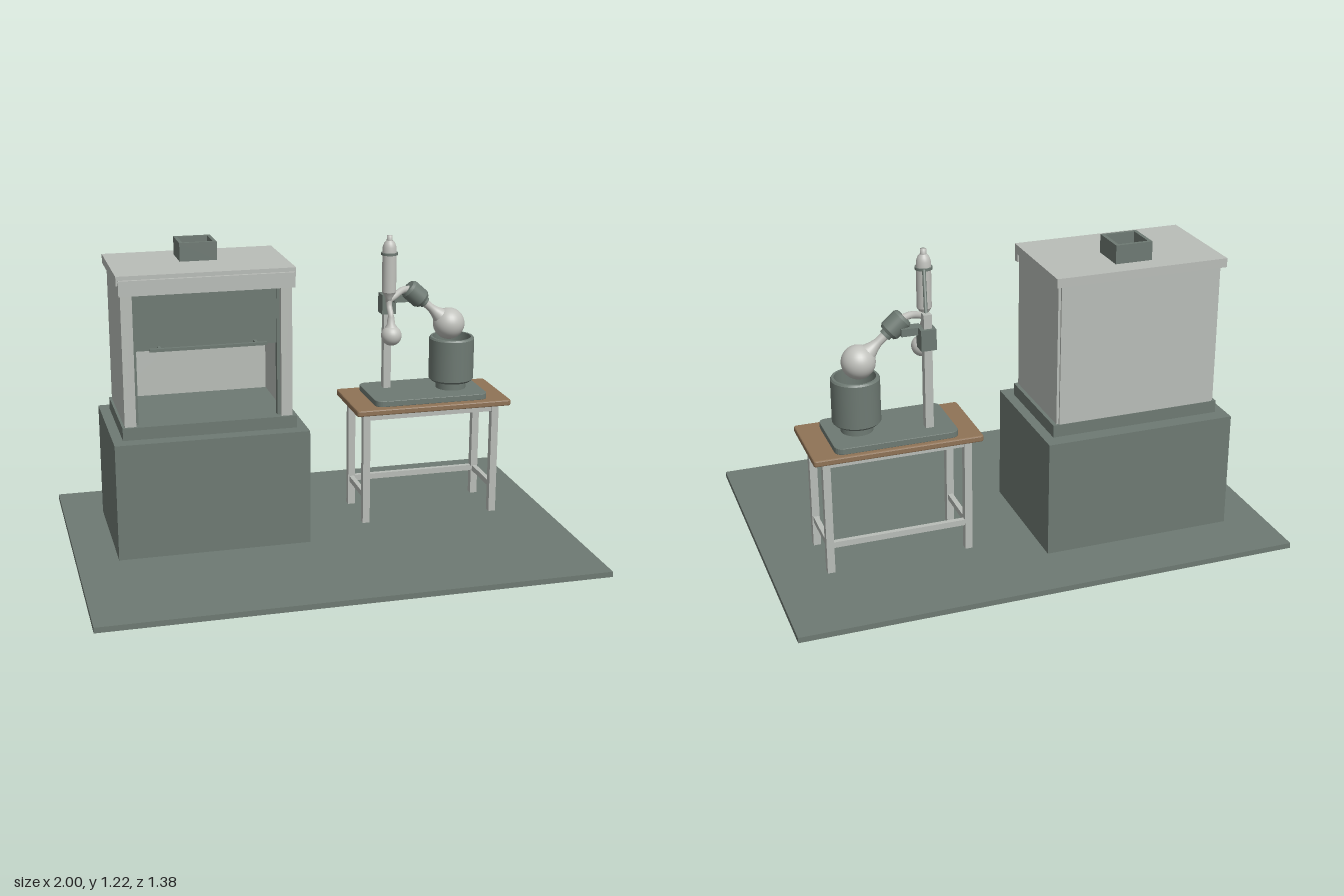
import * as THREE from 'three';

export function createModel() {
  const root = new THREE.Group();
  const mat = (name, color) => {
    const m = new THREE.MeshStandardMaterial({ color, side: THREE.DoubleSide });
    m.name = name;
    return m;
  };
  const green = mat('grey green', 0x6e7a73);
  const light = mat('pale grey', 0xb9bdb8);
  const glass = mat('glass grey', 0xc0c1bc);
  const wood = mat('wood brown', 0x8f7356);

  const add = (name, geometry, material, parent = root) => {
    const mesh = new THREE.Mesh(geometry, material);
    mesh.name = name;
    parent.add(mesh);
    return mesh;
  };
  // box given by its limits on each axis
  const box = (name, m, x0, x1, y0, y1, z0, z1, parent) => {
    const mesh = add(name, new THREE.BoxGeometry(x1 - x0, y1 - y0, z1 - z0), m, parent);
    mesh.position.set((x0 + x1) / 2, (y0 + y1) / 2, (z0 + z1) / 2);
    return mesh;
  };
  const group = (name) => {
    const g = new THREE.Group();
    g.name = name;
    root.add(g);
    return g;
  };
  const V = (x, y, z) => new THREE.Vector3(x, y, z);
  const UP = V(0, 1, 0);
  // turned part; profile of [radius, height], sharp corners kept by separate bands
  const lathe = (name, m, profile, origin, dir, parent) => {
    const mesh = add(name, new THREE.LatheGeometry(profile.map(p => new THREE.Vector2(p[0], p[1])), 32), m, parent);
    mesh.position.copy(origin);
    mesh.quaternion.setFromUnitVectors(UP, dir.clone().normalize());
    return mesh;
  };
  const rod = (name, m, a, b, r, parent) => {
    const d = b.clone().sub(a);
    const mesh = add(name, new THREE.CylinderGeometry(r, r, d.length(), 20), m, parent);
    mesh.position.copy(a).add(b).multiplyScalar(0.5);
    mesh.quaternion.setFromUnitVectors(UP, d.normalize());
    return mesh;
  };
  // flat slab with rounded corners and a small bevel
  const slab = (name, m, x0, x1, y0, y1, z0, z1, r, bevel, parent) => {
    const w = (x1 - x0) / 2 - bevel, d = (z1 - z0) / 2 - bevel;
    const s = new THREE.Shape();
    s.moveTo(-w + r, -d);
    s.lineTo(w - r, -d).quadraticCurveTo(w, -d, w, -d + r);
    s.lineTo(w, d - r).quadraticCurveTo(w, d, w - r, d);
    s.lineTo(-w + r, d).quadraticCurveTo(-w, d, -w, d - r);
    s.lineTo(-w, -d + r).quadraticCurveTo(-w, -d, -w + r, -d);
    const g = new THREE.ExtrudeGeometry(s, {
      depth: y1 - y0 - 2 * bevel, bevelThickness: bevel, bevelSize: bevel, bevelSegments: 2, curveSegments: 6,
    });
    g.rotateX(-Math.PI / 2);
    const mesh = add(name, g, m, parent);
    mesh.position.set((x0 + x1) / 2, y0 + bevel, (z0 + z1) / 2);
    return mesh;
  };

  box('floor', green, -1, 1, 0, 0.022, -0.692, 0.692);

  // fume cupboard
  const hood = group('fumeCupboard');
  box('baseCabinet', green, -0.835, -0.06, 0.022, 0.495, -0.442, 0.11, hood);
  box('worktop', green, -0.795, -0.1, 0.495, 0.545, -0.382, 0.052, hood);
  box('backPanel', light, -0.775, -0.125, 0.545, 1.11, -0.38, -0.368, hood);
  for (const s of [-1, 1]) {
    const cx = -0.45;
    const span = (name, m, a, b, y0, y1, z0, z1) =>
      box(name, m, Math.min(cx + s * a, cx + s * b), Math.max(cx + s * a, cx + s * b), y0, y1, z0, z1, hood);
    span('sideWall', light, 0.315, 0.335, 0.545, 1.11, -0.372, 0.02);
    span('frontPost', light, 0.29, 0.335, 0.545, 1.11, 0.012, 0.042);
    span('sashTrack', green, 0.278, 0.292, 0.545, 1.08, -0.005, 0.02);
  }
  box('roof', light, -0.8, -0.1, 1.11, 1.146, -0.395, 0.05, hood);
  box('fascia', light, -0.793, -0.107, 1.07, 1.13, 0.04, 0.064, hood);
  box('sash', green, -0.73, -0.17, 0.84, 1.09, 0.004, 0.014, hood);
  box('sashHandle', green, -0.68, -0.22, 0.846, 0.858, 0.048, 0.062, hood);
  for (const x of [-0.64, -0.26]) box('handleMount', green, x - 0.006, x + 0.006, 0.846, 0.858, 0.01, 0.05, hood);

  // open square duct on the roof
  const ductShape = new THREE.Shape([[-1, -1], [1, -1], [1, 1], [-1, 1]].map(p => new THREE.Vector2(p[0] * 0.075, p[1] * 0.075)));
  ductShape.holes.push(new THREE.Path([[-1, -1], [-1, 1], [1, 1], [1, -1]].map(p => new THREE.Vector2(p[0] * 0.061, p[1] * 0.061))));
  const ductGeo = new THREE.ExtrudeGeometry(ductShape, { depth: 0.074, bevelEnabled: false });
  ductGeo.rotateX(-Math.PI / 2);
  add('duct', ductGeo, green, hood).position.set(-0.445, 1.146, -0.24);
  box('ductFloor', green, -0.51, -0.38, 1.146, 1.15, -0.305, -0.175, hood);

  // table
  const table = group('table');
  slab('tableTop', wood, 0.165, 0.83, 0.5, 0.525, -0.333, 0.004, 0.008, 0.005, table);
  for (const x of [0.217, 0.775]) {
    for (const z of [-0.05, -0.28]) box('tableLeg', light, x - 0.015, x + 0.015, 0.022, 0.5, z - 0.015, z + 0.015, table);
    box('endApron', light, x - 0.01, x + 0.01, 0.468, 0.5, -0.266, -0.064, table);
    box('endRail', light, x - 0.01, x + 0.01, 0.126, 0.15, -0.266, -0.064, table);
  }
  for (const z of [-0.05, -0.28]) box('longApron', light, 0.23, 0.762, 0.468, 0.5, z - 0.01, z + 0.01, table);
  box('backRail', light, 0.23, 0.762, 0.126, 0.15, -0.29, -0.27, table);

  // evaporator base, bath and post
  const evap = group('evaporator');
  slab('basePlate', green, 0.255, 0.74, 0.525, 0.55, -0.313, -0.027, 0.035, 0.002, evap);
  const bath = V(0.62, 0, -0.165);
  add('bathFoot', new THREE.CylinderGeometry(0.063, 0.063, 0.036, 32), green, evap).position.set(0.62, 0.567, -0.165);
  [
    [[0, 0.583], [0.085, 0.583]], [[0.085, 0.583], [0.094, 0.592]], [[0.094, 0.592], [0.094, 0.764]],
    [[0.094, 0.764], [0.089, 0.771]], [[0.089, 0.771], [0.08, 0.771]],
    [[0.08, 0.771], [0.08, 0.66]], [[0.08, 0.66], [0, 0.66]],
  ].forEach(p => lathe('bathBody', green, p, bath, UP, evap));

  box('post', light, 0.338, 0.37, 0.55, 1.01, -0.245, -0.212, evap);
  box('postClamp', green, 0.325, 0.385, 0.872, 0.955, -0.258, -0.198, evap);
  box('headArm', green, 0.37, 0.45, 0.925, 0.955, -0.22, -0.175, evap);

  // tilted drive head, neck and rotating flask
  const flask = V(0.605, 0.827, -0.165);
  const head = V(0.425, 0.988, -0.172);
  const axis = flask.clone().sub(head).normalize();
  const along = t => head.clone().addScaledVector(axis, t);
  [
    [[0, 0], [0.034, 0]], [[0.034, 0], [0.042, 0.01]], [[0.042, 0.01], [0.042, 0.075]],
    [[0.042, 0.075], [0.034, 0.087]], [[0.034, 0.087], [0, 0.087]],
  ].forEach(p => lathe('driveHead', green, p, head, axis, evap));
  rod('driveCollar', green, along(0.085), along(0.102), 0.024, evap);
  lathe('flaskNeck', glass, [[0.017, 0.1], [0.017, 0.135], [0.023, 0.16], [0.036, 0.192]], head, axis, evap);
  add('rotatingFlask', new THREE.SphereGeometry(0.066, 32, 20), glass, evap).position.copy(flask);

  // condenser with its joint, bracket and receiving flask
  const cx = 0.325, cz = -0.107;
  const base = V(cx, 0, cz);
  lathe('condenserBottom', glass, [[0, 0.945], [0.013, 0.945], [0.014, 0.965], [0.029, 0.99]], base, UP, evap);
  lathe('condenserBody', glass, [[0.029, 0.99], [0.029, 1.15]], base, UP, evap);
  lathe('condenserDome', glass, [[0.029, 1.15], [0.028, 1.175], [0.022, 1.192], [0.013, 1.202]], base, UP, evap);
  lathe('condenserCap', glass, [[0.012, 1.2], [0.012, 1.222], [0, 1.222]], base, UP, evap);
  add('condenserClamp', new THREE.CylinderGeometry(0.034, 0.034, 0.01, 32), green, evap).position.set(cx, 1.148, cz);
  rod('condenserBracket', green, V(0.332, 1.148, -0.135), V(0.354, 1.0, -0.222), 0.007, evap);
  const joint = new THREE.CatmullRomCurve3([along(0.01), V(0.395, 0.982, -0.152), V(0.35, 0.965, -0.12), V(cx, 0.955, cz)]);
  add('vapourTube', new THREE.TubeGeometry(joint, 20, 0.014, 16), glass, evap);
  const drop = new THREE.CatmullRomCurve3([V(cx, 0.965, cz), V(cx, 0.93, -0.1), V(cx, 0.9, -0.078), V(cx, 0.855, -0.068)]);
  add('dropTube', new THREE.TubeGeometry(drop, 20, 0.012, 16), glass, evap);
  const receiver = V(cx, 0.817, -0.067);
  add('receivingFlask', new THREE.SphereGeometry(0.042, 28, 18), glass, evap).position.copy(receiver);
  lathe('receiverNeck', glass, [[0.028, 0.03], [0.017, 0.046], [0.014, 0.075]], receiver, V(0, 1, -0.12), evap);

  return root;
}
